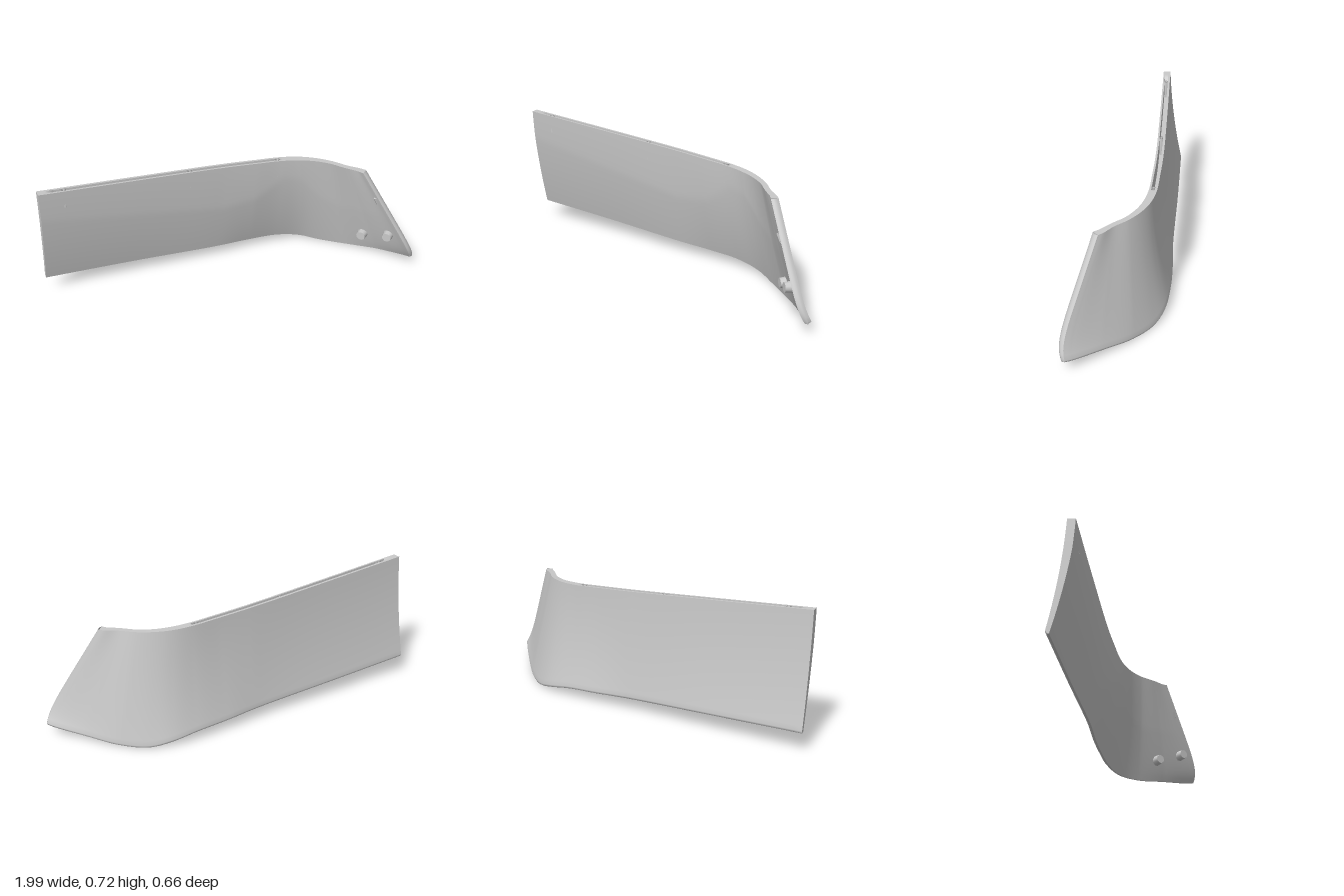
import * as THREE from 'three';

// Stations along the panel: top x,z | bottom x,y,z | bow in z | top thickness | bottom thickness | ridge height fraction | low bow
const STATIONS = [
  [-1.00, -0.243, -1.00, 0.112, -0.328, 0.013, 0.042, 0.022, 0.28, 0],
  [-0.50, -0.212, -0.50, 0.095, -0.288, 0.012, 0.042, 0.022, 0.38, 0],
  [0.00, -0.177, 0.00, 0.075, -0.243, 0.010, 0.042, 0.022, 0.48, 0],
  [0.20, -0.155, 0.20, 0.066, -0.236, 0.016, 0.042, 0.022, 0.42, 0],
  [0.35, -0.135, 0.38, 0.056, -0.220, 0.018, 0.042, 0.022, 0.20, 0],
  [0.45, -0.105, 0.52, 0.030, -0.190, 0.016, 0.040, 0.022, 0.22, 0],
  [0.53, -0.060, 0.63, 0.004, -0.130, 0.010, 0.034, 0.022, 0.40, 0],
  [0.60, 0.000, 0.75, 0.008, -0.020, 0.004, 0.030, 0.022, 0.50, 0],
  [0.66, 0.075, 0.87, 0.035, 0.125, 0, 0.030, 0.024, 0.50, 0.018],
  [0.71, 0.122, 0.975, 0.055, 0.263, 0, 0.036, 0.034, 0.50, 0.045],
  [0.73, 0.148, 1.00, 0.062, 0.300, 0, 0.040, 0.040, 0.50, 0.053],
];
const LAST = STATIONS.length - 1;
const topCurve = new THREE.CatmullRomCurve3(
  STATIONS.map(([x, z]) => new THREE.Vector3(x, 0.72 - 0.0607 * (x + 1), z)));
const bottomCurve = new THREE.CatmullRomCurve3(
  STATIONS.map((s) => new THREE.Vector3(s[2], s[3], s[4])));

// Value of one station column at u in 0..1
function column(u, k) {
  const i = Math.min(LAST - 1, Math.floor(u * LAST));
  return THREE.MathUtils.lerp(STATIONS[i][k], STATIONS[i + 1][k], u * LAST - i);
}

// Point on the outer skin, v running from top to bottom
function outerPoint(u, v) {
  const p = topCurve.getPoint(u).lerp(bottomCurve.getPoint(u), v);
  p.z += column(u, 5) * 4 * v * (1 - v) + column(u, 9) * v * (1 - v ** 8);
  return p;
}

// Horizontal direction along the panel
function along(u, v) {
  const t = topCurve.getTangent(u).lerp(bottomCurve.getTangent(u), v);
  return t.setY(0).normalize();
}

// Horizontal direction from the outer skin to the inner one
function inward(u, v) {
  const t = along(u, v);
  return new THREE.Vector3(-t.z, 0, t.x);
}

// Point part of the way through the wall
function wallPoint(u, v, part) {
  const ridge = column(u, 8);
  const fall = Math.max(0, (v - ridge) / (1 - ridge));
  const thick = THREE.MathUtils.lerp(column(u, 6), column(u, 7), fall);
  const p = outerPoint(u, v).addScaledVector(inward(u, v), thick * part);
  p.x = Math.max(-1, p.x);
  return p;
}

// Smooth surface through rows of points
function gridGeometry(rows) {
  const n = rows[0].length;
  const index = [];
  for (let i = 0; i < rows.length - 1; i++) {
    for (let j = 0; j < n - 1; j++) {
      const a = i * n + j, b = a + n;
      index.push(a, b, a + 1, b, b + 1, a + 1);
    }
  }
  const geometry = new THREE.BufferGeometry().setFromPoints(rows.flat());
  geometry.setIndex(index);
  geometry.computeVertexNormals();
  return geometry;
}

export function createModel() {
  const group = new THREE.Group();
  group.name = 'bumperCornerPanel';
  const grey = new THREE.MeshStandardMaterial({ color: 0xc8c8c8, side: THREE.DoubleSide });
  grey.name = 'light grey plastic';
  const add = (name, geometry) => {
    const mesh = new THREE.Mesh(geometry, grey);
    mesh.name = name;
    group.add(mesh);
    return mesh;
  };

  const U = Array.from({ length: 121 }, (_, i) => i / 120);
  const V = Array.from({ length: 25 }, (_, j) => j / 24);
  const outerEnd = 0.975;

  // Outer skin with a rounded bottom edge, and inner skin
  add('outerSkin', gridGeometry(U.map((u) => [
    ...V.map((v) => wallPoint(u, v * outerEnd, 0)),
    wallPoint(u, 0.992, 0.2), wallPoint(u, 1, 0.6),
  ])));
  add('bottomEdge', gridGeometry(U.map((u) => [wallPoint(u, 1, 0.6), wallPoint(u, 1, 1)])));
  add('innerSkin', gridGeometry(U.map((u) => [...V].reverse().map((v) => wallPoint(u, v, 1)))));

  // Top rim with a channel sunk between the skins
  const rim = U.map((u) => {
    const x = topCurve.getPoint(u).x;
    const depth = x > -0.9 && x < 0.33 ? 0.1 : 0;
    const at = (part, drop) => {
      const p = wallPoint(u, 0, part);
      p.y -= drop;
      return p;
    };
    return [at(1, 0), at(0.76, 0), at(0.76, depth), at(0.3, depth), at(0.3, 0), at(0, 0)];
  });
  ['rimInner', 'channelInnerWall', 'channelFloor', 'channelOuterWall', 'rimOuter'].forEach((name, k) => {
    add(name, gridGeometry(rim.map((row) => row.slice(k, k + 2))));
  });

  // Closed ends, the wing end slightly rounded
  const endRow = (u, part, swell) => [...V.map((v) => v * outerEnd), 1].map((v) =>
    wallPoint(u, v, v === 1 ? Math.max(part, 0.6) : part)
      .addScaledVector(along(u, v), swell * Math.sin(Math.PI * part)));
  add('innerEnd', gridGeometry([endRow(0, 1, 0), endRow(0, 0, 0)]));
  add('wingEnd', gridGeometry([0, 0.25, 0.5, 0.75, 1].map((part) => endRow(1, part, 0.008))));

  // Hollow clip posts in the channel
  const tube = [[0.006, -0.04], [0.006, 0], [0.015, 0], [0.015, -0.1]]
    .map(([r, y]) => new THREE.Vector2(r, y)).reverse();
  [0.27, 1.6, 3.8].forEach((station) => {
    const post = add('clipPost', new THREE.LatheGeometry(tube, 16));
    post.position.copy(wallPoint(station / LAST, 0, 0.53));
    post.position.y -= 0.002;
  });

  // Oval mounting pegs on the inside of the wing
  [[7.72, 0.8], [8.72, 0.73]].forEach(([station, v]) => {
    const u = station / LAST;
    const normal = inward(u, v);
    const peg = add('mountingPeg', new THREE.CylinderGeometry(0.026, 0.032, 0.05, 10));
    peg.position.copy(wallPoint(u, v, 1)).addScaledVector(normal, 0.012);
    peg.quaternion.setFromUnitVectors(new THREE.Vector3(0, 1, 0), normal);
  });

  // Small locating tab near the wing edge
  const tab = add('locatingTab', new THREE.BoxGeometry(0.012, 0.05, 0.012));
  tab.position.copy(wallPoint(0.93, 0.32, 1));
  tab.rotation.z = 0.45;

  return group;
}
